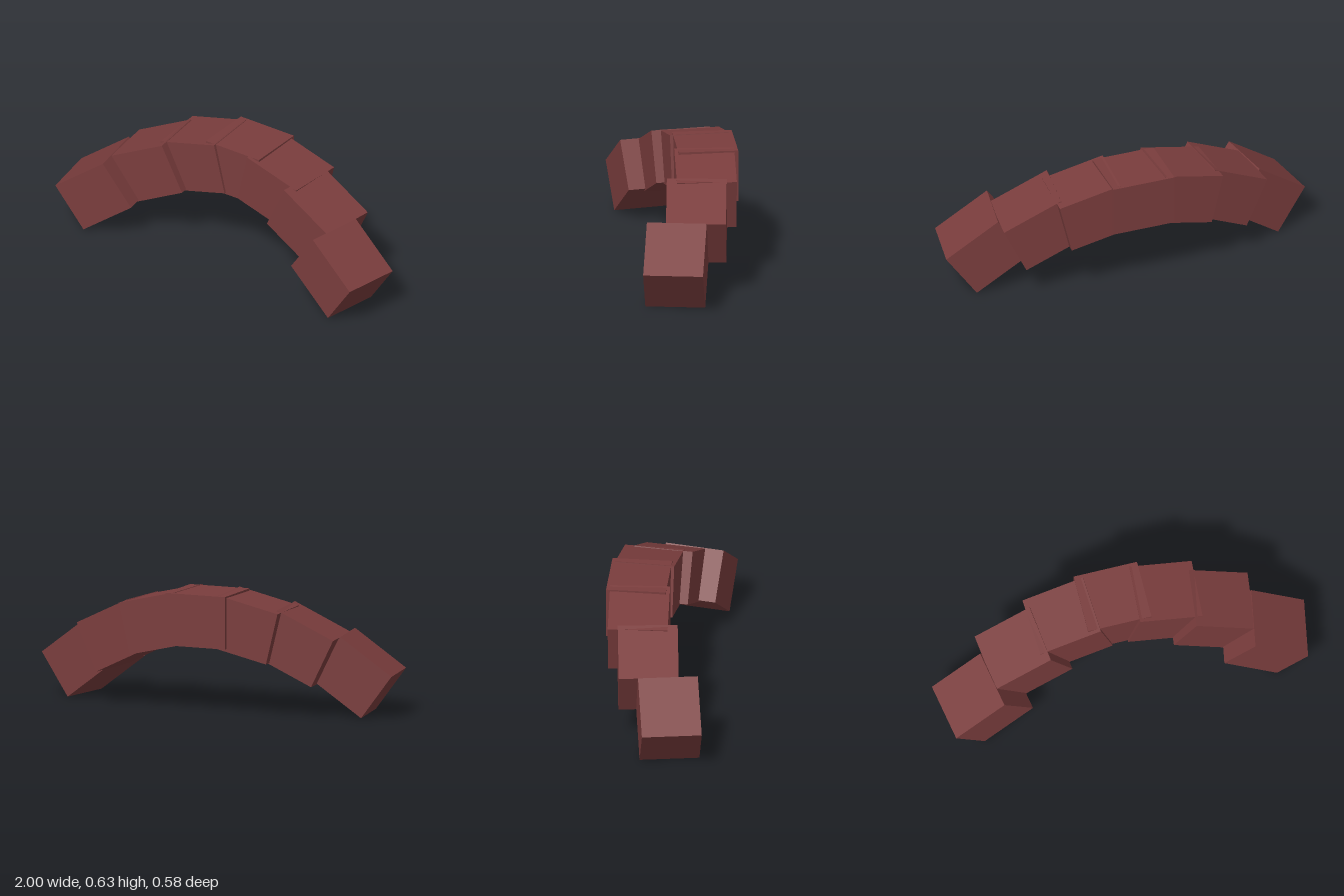
import * as THREE from 'three';

export function createModel() {
  const group = new THREE.Group();
  group.name = 'segmentedArch';
  const brick = new THREE.MeshStandardMaterial({ color: 0x7a3d3d });
  brick.name = 'dull red brown';

  // Every segment is the same block, overlapping its neighbours
  const block = new THREE.BoxGeometry(0.34, 0.277, 0.313);
  const deg = THREE.MathUtils.degToRad;

  function addBlock(name, x, y, z, roll, yaw) {
    const mesh = new THREE.Mesh(block, brick);
    mesh.name = name;
    mesh.position.set(x, y, z);
    mesh.rotation.set(0, deg(yaw), deg(roll));
    group.add(mesh);
  }

  // Middle block
  addBlock('middleBlock', 0, 0.492, -0.134, 0, 0);

  // Mirrored blocks, stepping down and forwards: x, y, z, roll, yaw
  const steps = [
    ['innerBlock', 0.248, 0.459, -0.109, 13.5, 3.4],
    ['shoulderBlock', 0.503, 0.367, -0.037, 25.7, 6.8],
    ['endBlock', 0.757, 0.212, 0.097, 36, 10],
  ];
  for (const [name, x, y, z, roll, yaw] of steps) {
    addBlock(name + 'Left', x, y, z, -roll, -yaw);
    addBlock(name + 'Right', -x, y, z, roll, yaw);
  }
  return group;
}
